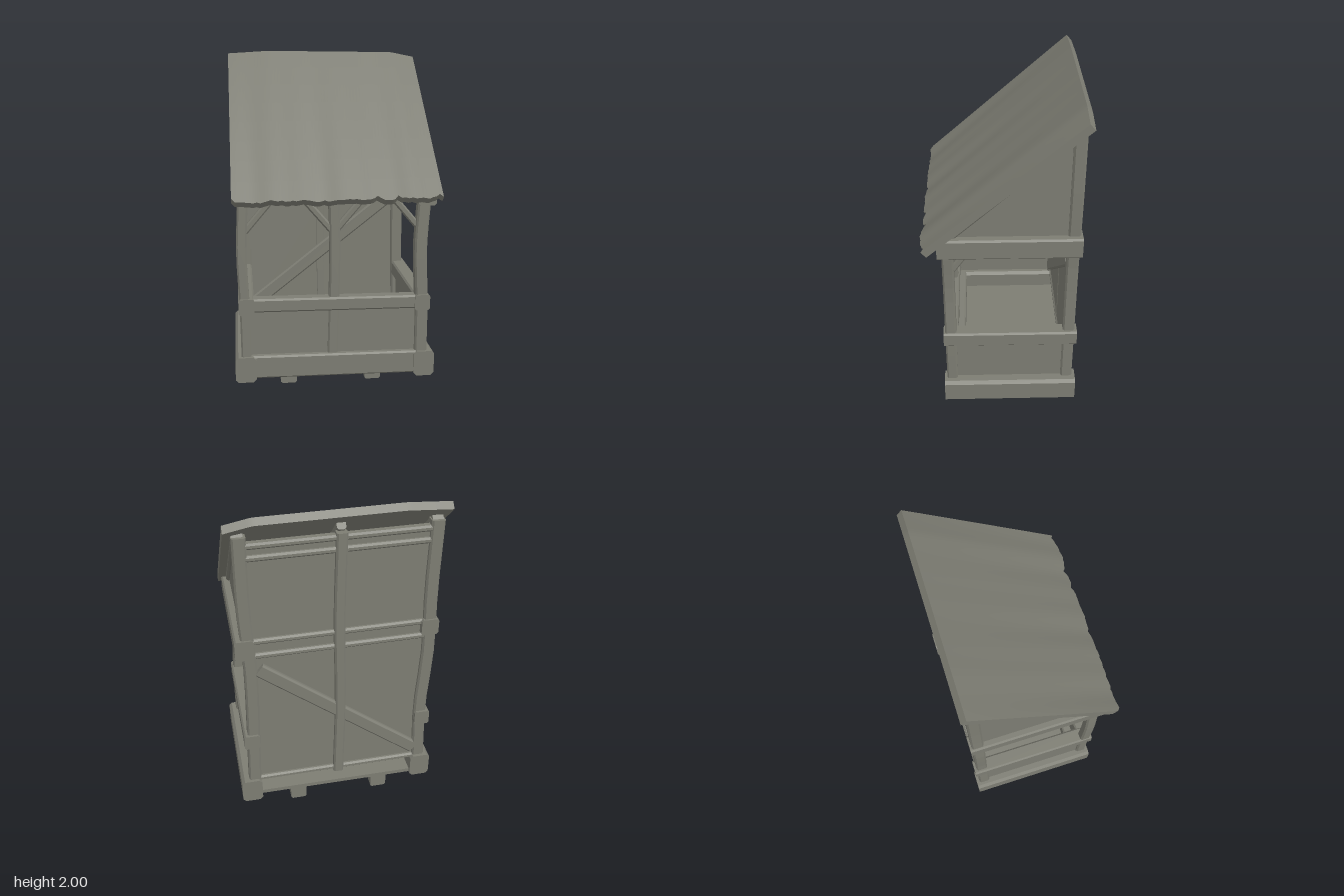
import * as THREE from 'three';

const wood = new THREE.MeshStandardMaterial({ color: 0x7d7d73 });
wood.name = 'weathered wood';

function add(parent, name, geometry, x = 0, y = 0, z = 0) {
  const mesh = new THREE.Mesh(geometry, wood);
  mesh.name = name;
  mesh.position.set(x, y, z);
  parent.add(mesh);
  return mesh;
}

// Chamfered timber running along z, centred on its own middle
function timber(w, h, length, steps = 1, c = 0.01) {
  const a = w / 2, b = h / 2;
  const s = new THREE.Shape([
    [a - c, -b], [a, -b + c], [a, b - c], [a - c, b],
    [-a + c, b], [-a, b - c], [-a, -b + c], [-a + c, -b],
  ].map(([x, y]) => new THREE.Vector2(x, y)));
  const g = new THREE.ExtrudeGeometry(s, { depth: length, steps, bevelEnabled: false });
  return g.translate(0, 0, -length / 2);
}

// Upright whose centre line follows a few x offsets
function post(parent, name, xs, y0, y1, z, w, d) {
  const g = timber(w, d, y1 - y0, 10).rotateX(-Math.PI / 2);
  const curve = new THREE.SplineCurve(xs.map((x, i) => new THREE.Vector2(x, i)));
  const p = g.attributes.position;
  for (let i = 0; i < p.count; i++) {
    const t = THREE.MathUtils.clamp(p.getY(i) / (y1 - y0) + 0.5, 0, 1);
    p.setX(i, p.getX(i) + curve.getPoint(t).x);
  }
  g.computeVertexNormals();
  return add(parent, name, g, 0, (y0 + y1) / 2, z);
}

// Straight timber between two points; w is across, h is the thickness in its upright plane
function strut(parent, name, from, to, w, h) {
  const a = new THREE.Vector3(...from), b = new THREE.Vector3(...to);
  const m = add(parent, name, timber(w, h, a.distanceTo(b), 1, Math.min(0.01, w / 4)));
  m.position.copy(a).lerp(b, 0.5);
  m.lookAt(b);
  return m;
}

function panel(parent, name, w, h, d, x, y, z) {
  return add(parent, name, new THREE.BoxGeometry(w, h, d), x, y, z);
}

// Sloping slab with an uneven ridge and a ragged lower edge
function roofGeometry(length, thickness) {
  const g = new THREE.BoxGeometry(1.2, thickness, length, 60, 1, 8);
  let seed = 7;
  const rand = () => (seed = (seed * 16807) % 2147483647) / 2147483647;
  const ragged = Array.from({ length: 61 }, () => (rand() < 0.3 ? 0.035 : 0.014) * rand());
  const ridge = x => (x < -0.35 ? (-0.35 - x) * 0.06 : x > 0.45 ? 0.01 + (x - 0.45) * 0.2 : (x + 0.35) * 0.0125);
  const p = g.attributes.position;
  for (let i = 0; i < p.count; i++) {
    const x = p.getX(i), z = p.getZ(i), t = z / length + 0.5;
    if (t > 0.99) p.setZ(i, z - ragged[Math.round((x + 0.6) * 50)]);
    const wave = 0.004 * Math.sin(x * 17) * t + 0.003 * Math.sin(x * 31 + 1) * t;
    p.setY(i, p.getY(i) + wave - ridge(x) * 0.74 * (1 - t));
    if (t < 0.01) p.setZ(i, z + ridge(x) * 0.67);
  }
  g.computeVertexNormals();
  return g;
}

export function createModel() {
  const model = new THREE.Group();
  model.name = 'marketStall';

  // Base: skids, floor and sills
  const base = new THREE.Group();
  base.name = 'base';
  model.add(base);
  for (const x of [-0.28, 0.243]) add(base, 'skid', timber(0.1, 0.12, 0.64), x, 0.062, -0.1);
  panel(base, 'floor', 1.0, 0.025, 0.7, 0, 0.11, -0.08);
  add(base, 'leftSill', timber(0.125, 0.158, 0.8, 1, 0.018), 0.538, 0.146, -0.05);
  add(base, 'rightSill', timber(0.125, 0.158, 0.8, 1, 0.018), -0.543, 0.16, -0.05);
  strut(base, 'frontSill', [-0.5, 0.17, 0.285], [0.5, 0.155, 0.285], 0.11, 0.142);

  // Uprights
  const posts = new THREE.Group();
  posts.name = 'posts';
  model.add(posts);
  post(posts, 'frontRightPost', [-0.538, -0.541, -0.552, -0.537], 0.2, 1.22, 0.302, 0.06, 0.066);
  post(posts, 'frontLeftPost', [0.52, 0.518, 0.504, 0.522], 0.2, 1.22, 0.302, 0.075, 0.066);
  post(posts, 'frontMiddlePost', [-0.02, -0.012, -0.006, -0.014], 0.2, 1.22, 0.295, 0.062, 0.05);
  post(posts, 'backRightPost', [-0.535, -0.52, -0.54, -0.53, -0.535], 0.2, 1.88, -0.396, 0.075, 0.07);
  post(posts, 'backLeftPost', [0.515, 0.505, 0.5, 0.52, 0.52], 0.2, 1.88, -0.396, 0.075, 0.07);
  post(posts, 'backMiddlePost', [-0.012, -0.02, -0.008, -0.015], 0.2, 1.86, -0.41, 0.062, 0.055);

  // Horizontal rails
  const rails = new THREE.Group();
  rails.name = 'rails';
  model.add(rails);
  add(rails, 'rightRail', timber(0.092, 0.096, 0.79), -0.532, 0.553, -0.05);
  add(rails, 'leftRail', timber(0.092, 0.096, 0.79), 0.52, 0.538, -0.05);
  strut(rails, 'frontRail', [-0.51, 0.556, 0.298], [0.5, 0.541, 0.298], 0.075, 0.082);
  add(rails, 'rightTopBeam', timber(0.1, 0.1, 0.8), -0.535, 1.22, -0.042);
  add(rails, 'leftTopBeam', timber(0.105, 0.125, 0.8), 0.53, 1.202, -0.042);
  strut(rails, 'frontTopBeam', [-0.51, 1.22, 0.295], [0.51, 1.215, 0.295], 0.065, 0.09);
  for (const y of [0.225, 1.15, 1.245, 1.76, 1.83])
    strut(rails, 'backRail', [-0.52, y + 0.005, -0.402], [0.51, y - 0.005, -0.402], 0.05, 0.035);

  // Wall panels
  const walls = new THREE.Group();
  walls.name = 'walls';
  model.add(walls);
  panel(walls, 'backWall', 1.03, 1.64, 0.02, -0.01, 1.02, -0.396);
  panel(walls, 'frontPanel', 1.04, 0.34, 0.02, -0.01, 0.37, 0.295);
  for (const x of [-0.537, 0.52]) panel(walls, 'sidePanel', 0.03, 0.34, 0.67, x, 0.37, -0.05);

  // Gable triangles with a rafter along each slope
  const gable = new THREE.Shape();
  gable.moveTo(0.3, 1.22);
  gable.lineTo(-0.39, 1.22);
  gable.lineTo(-0.39, 1.855);
  gable.closePath();
  for (const x of [-0.535, 0.525]) {
    const g = new THREE.ExtrudeGeometry(gable, { depth: 0.024, bevelEnabled: false });
    add(walls, 'gable', g.rotateY(-Math.PI / 2), x + 0.012, 0, 0);
    strut(walls, 'rafter', [x, 1.245, 0.315], [x, 1.893, -0.4], 0.06, 0.055);
  }
  strut(walls, 'middleRafter', [-0.015, 1.245, 0.315], [-0.015, 1.893, -0.4], 0.05, 0.05);

  // Diagonal and corner braces
  const braces = new THREE.Group();
  braces.name = 'braces';
  model.add(braces);
  strut(braces, 'backBrace', [-0.5, 0.3, -0.396], [0.455, 1.05, -0.396], 0.07, 0.085);
  for (const [x, dir] of [[-0.53, 1], [-0.03, -1], [0.005, 1], [0.49, -1]])
    strut(braces, 'frontKneeBrace', [x, 1.0, 0.295], [x + dir * 0.17, 1.2, 0.295], 0.035, 0.04);
  for (const x of [-0.537, 0.52])
    strut(braces, 'sideKneeBrace', [x, 1.02, 0.29], [x, 1.17, 0.185], 0.035, 0.04);

  // Roof
  const t = 0.045, angle = Math.atan2(0.8, 0.88);
  const roof = add(model, 'roof', roofGeometry(Math.hypot(0.8, 0.88), t),
    0, 1.6 - Math.cos(angle) * t / 2, 0.012 - Math.sin(angle) * t / 2);
  roof.rotation.x = angle;

  return model;
}
